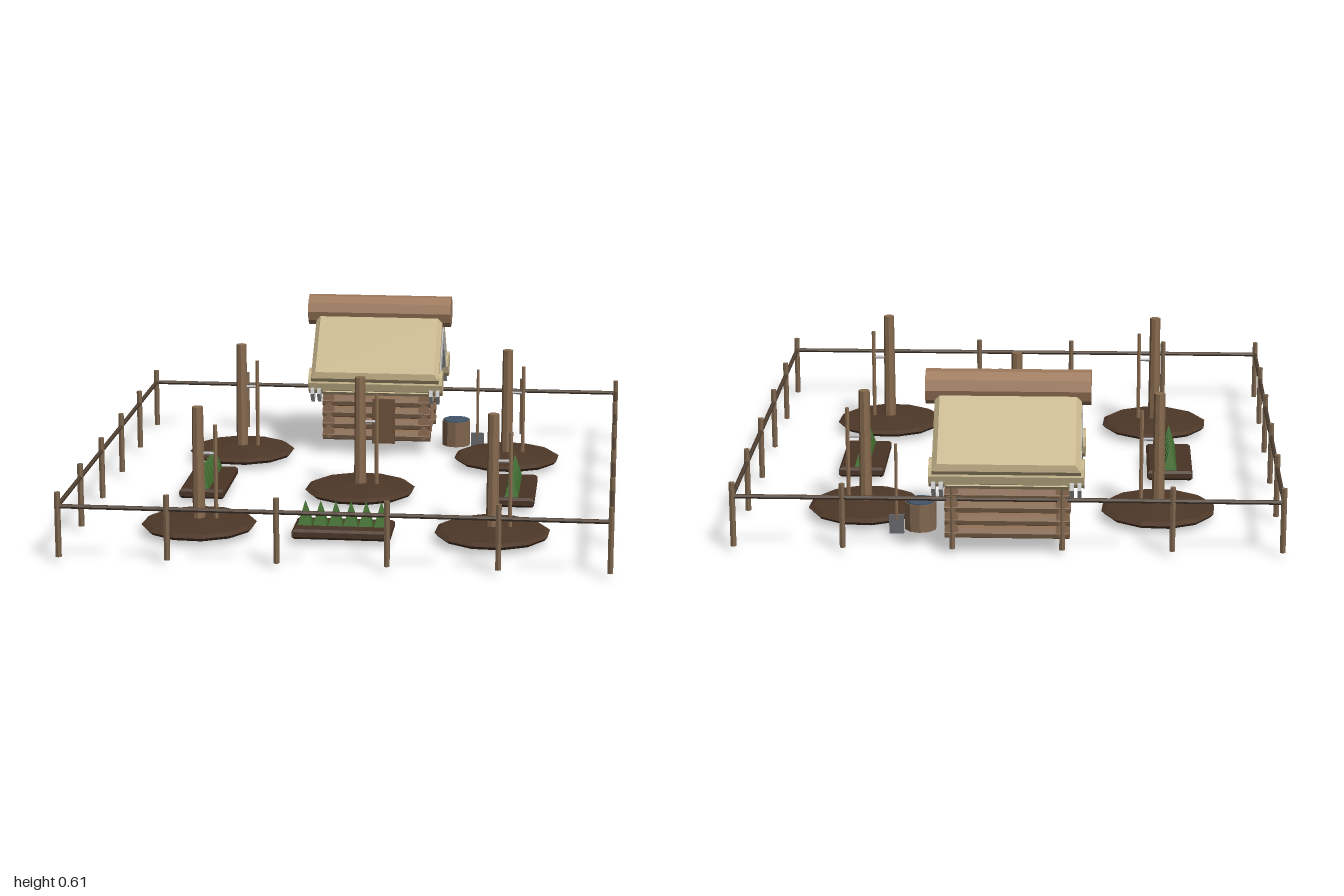
import * as THREE from 'three';

const mat = (color) => new THREE.MeshStandardMaterial({ color, flatShading: true });
const M = {
  rail: mat(0x4f4032), post: mat(0x7c654d), soil: mat(0x4d3828), trunk: mat(0x876a4f),
  crate: mat(0x4a3426), leaf: mat(0x3f6f2c), log: mat(0x8a6c52), ridge: mat(0x9e7a5c),
  thatch: mat(0xc6b58b), board: mat(0xb8b8b8), door: mat(0x6a4f3a), barrel: mat(0x80664e),
  water: mat(0x43556b), metal: mat(0x66686c),
};

function add(parent, name, geometry, material, x = 0, y = 0, z = 0) {
  const mesh = new THREE.Mesh(geometry, material);
  mesh.name = name;
  mesh.position.set(x, y, z);
  parent.add(mesh);
  return mesh;
}

function group(parent, name, x = 0, y = 0, z = 0) {
  const g = new THREE.Group();
  g.name = name;
  g.position.set(x, y, z);
  parent.add(g);
  return g;
}

// Upright cylinder between two heights
const pole = (parent, name, m, r, x, y0, y1, z, sides = 8) =>
  add(parent, name, new THREE.CylinderGeometry(r, r, y1 - y0, sides), m, x, (y0 + y1) / 2, z);

// Horizontal cylinder along x or z
function beam(parent, name, m, r, length, axis, x, y, z, sides = 8) {
  const geo = new THREE.CylinderGeometry(r, r, length, sides);
  if (axis === 'x') geo.rotateZ(Math.PI / 2); else geo.rotateX(Math.PI / 2);
  return add(parent, name, geo, m, x, y, z);
}

// Box with chamfered edges, thickness along y
function chamferBox(w, h, d, b) {
  const x = w / 2 - b, z = d / 2 - b;
  const shape = new THREE.Shape([[-x, -z], [x, -z], [x, z], [-x, z]].map((p) => new THREE.Vector2(...p)));
  const geo = new THREE.ExtrudeGeometry(shape, {
    depth: h - 2 * b, bevelEnabled: true, bevelSize: b, bevelThickness: b, bevelSegments: 1,
  });
  return geo.translate(0, 0, b - h / 2).rotateX(-Math.PI / 2);
}

function buildFence(root) {
  const fence = group(root, 'fence', 0, 0, 0.04);
  const h = 0.945;
  for (let i = 0; i < 5; i++) {
    const t = -h + i * 0.378;
    // One post per side, walking round the square
    for (const [x, z] of [[t, h], [h, -t], [-t, -h], [-h, t]]) {
      pole(fence, 'fencePost', M.post, 0.011, x, 0.02, 0.25, z, 6);
    }
  }
  for (const s of [-h, h]) {
    beam(fence, 'fenceRail', M.rail, 0.008, 2 * h, 'x', 0, 0.2, s, 6);
    beam(fence, 'fenceRail', M.rail, 0.008, 2 * h, 'z', s, 0.2, 0, 6);
  }
}

function buildTreeBed(root, x, z) {
  const bed = group(root, 'treeBed', x, 0, z);
  const profile = [[0, 0.02], [0.195, 0.02], [0.207, 0.032], [0.188, 0.042], [0, 0.056]];
  const soil = add(bed, 'soilMound',
    new THREE.LatheGeometry(profile.map((p) => new THREE.Vector2(...p)), 12), M.soil);
  soil.rotation.y = 0.2;
  add(bed, 'trunk', new THREE.CylinderGeometry(0.02, 0.023, 0.41, 8), M.trunk, 0, 0.255, 0);
  // Support stake tied to the trunk
  pole(bed, 'stake', M.trunk, 0.008, 0.062, 0.03, 0.395, 0, 6);
  beam(bed, 'stakeTie', M.board, 0.006, 0.06, 'x', 0.036, 0.29, 0, 6);
}

function buildPlanter(root, x, z, turn) {
  const planter = group(root, 'planter', x, 0, z);
  planter.rotation.y = turn;
  add(planter, 'planterSoil', chamferBox(0.35, 0.036, 0.168, 0.009), M.crate, 0, 0.038, 0);
  for (let i = 0; i < 6; i++) {
    const geo = new THREE.ConeGeometry(0.038, 0.092, 4).rotateY(Math.PI / 4);
    add(planter, 'plant', geo, M.leaf, (i - 2.5) * 0.054, 0.097, 0);
  }
}

function buildCabin(root) {
  const cabin = group(root, 'cabin', 0, 0, -0.745);
  // Wall core and stacked logs crossing at the corners
  add(cabin, 'wallCore', new THREE.BoxGeometry(0.38, 0.22, 0.29), M.log, 0, 0.165, 0);
  for (let i = 0; i < 5; i++) {
    const y = 0.078 + i * 0.046;
    for (const s of [-1, 1]) {
      beam(cabin, 'longWallLog', M.log, 0.024, 0.43, 'x', 0, y, s * 0.145);
      beam(cabin, 'endWallLog', M.log, 0.024, 0.335, 'z', s * 0.19, y + 0.012, 0);
    }
  }
  // Gable logs shorten towards the ridge
  for (const s of [-1, 1]) {
    for (const y of [0.3, 0.335, 0.37]) {
      beam(cabin, 'gableLog', M.log, 0.023, 2 * (0.425 - y), 'z', s * 0.19, y, 0);
    }
  }
  add(cabin, 'door', new THREE.BoxGeometry(0.09, 0.18, 0.02), M.door, 0.03, 0.14, 0.168);

  // Roof: thatch slopes, eave logs and gable boards on each side
  for (const s of [-1, 1]) {
    const thatch = add(cabin, 'roofSlope', chamferBox(0.505, 0.062, 0.30, 0.018), M.thatch, 0, 0.422, s * 0.127);
    thatch.rotation.x = s * Math.PI / 4;
    beam(cabin, 'eaveLog', M.thatch, 0.05, 0.53, 'x', 0, 0.302, s * 0.178, 10);
    const lining = add(cabin, 'roofLining', new THREE.BoxGeometry(0.42, 0.02, 0.3), M.thatch, 0, 0.365, s * 0.105);
    lining.rotation.x = s * Math.PI / 4;
    for (const x of [-0.248, -0.222, 0.222, 0.248]) {
      const board = add(cabin, 'gableBoard', new THREE.BoxGeometry(0.014, 0.055, 0.32), M.board, x, 0.355, s * 0.11);
      board.rotation.x = s * Math.PI / 4;
    }
  }
  beam(cabin, 'ridgeSupport', M.board, 0.018, 0.5, 'x', 0, 0.485, 0, 6);
  beam(cabin, 'ridgeLog', M.ridge, 0.061, 0.57, 'x', 0, 0.555, 0, 10);
}

function buildBarrel(root) {
  const barrel = group(root, 'waterBarrel', 0.312, 0, -0.7);
  add(barrel, 'barrelBody', new THREE.CylinderGeometry(0.057, 0.057, 0.1, 10), M.barrel, 0, 0.072, 0);
  add(barrel, 'water', new THREE.CylinderGeometry(0.052, 0.052, 0.006, 10), M.water, 0, 0.123, 0);
}

function buildShovel(root) {
  const shovel = group(root, 'shovel', 0.397, 0, -0.7);
  pole(shovel, 'shovelHandle', M.trunk, 0.006, 0, 0.05, 0.33, 0, 6);
  add(shovel, 'shovelBlade', new THREE.BoxGeometry(0.052, 0.07, 0.008), M.metal, 0, 0.035, 0);
}

export function createModel() {
  const root = new THREE.Group();
  root.name = 'orchardGarden';
  buildFence(root);
  for (const x of [-0.525, 0.525]) for (const z of [-0.485, 0.565]) buildTreeBed(root, x, z);
  buildTreeBed(root, 0, 0.04);
  buildPlanter(root, -0.575, 0.037, Math.PI / 2);
  buildPlanter(root, 0.575, 0.037, Math.PI / 2);
  buildPlanter(root, 0, 0.615, 0);
  buildCabin(root);
  buildBarrel(root);
  buildShovel(root);
  return root;
}
